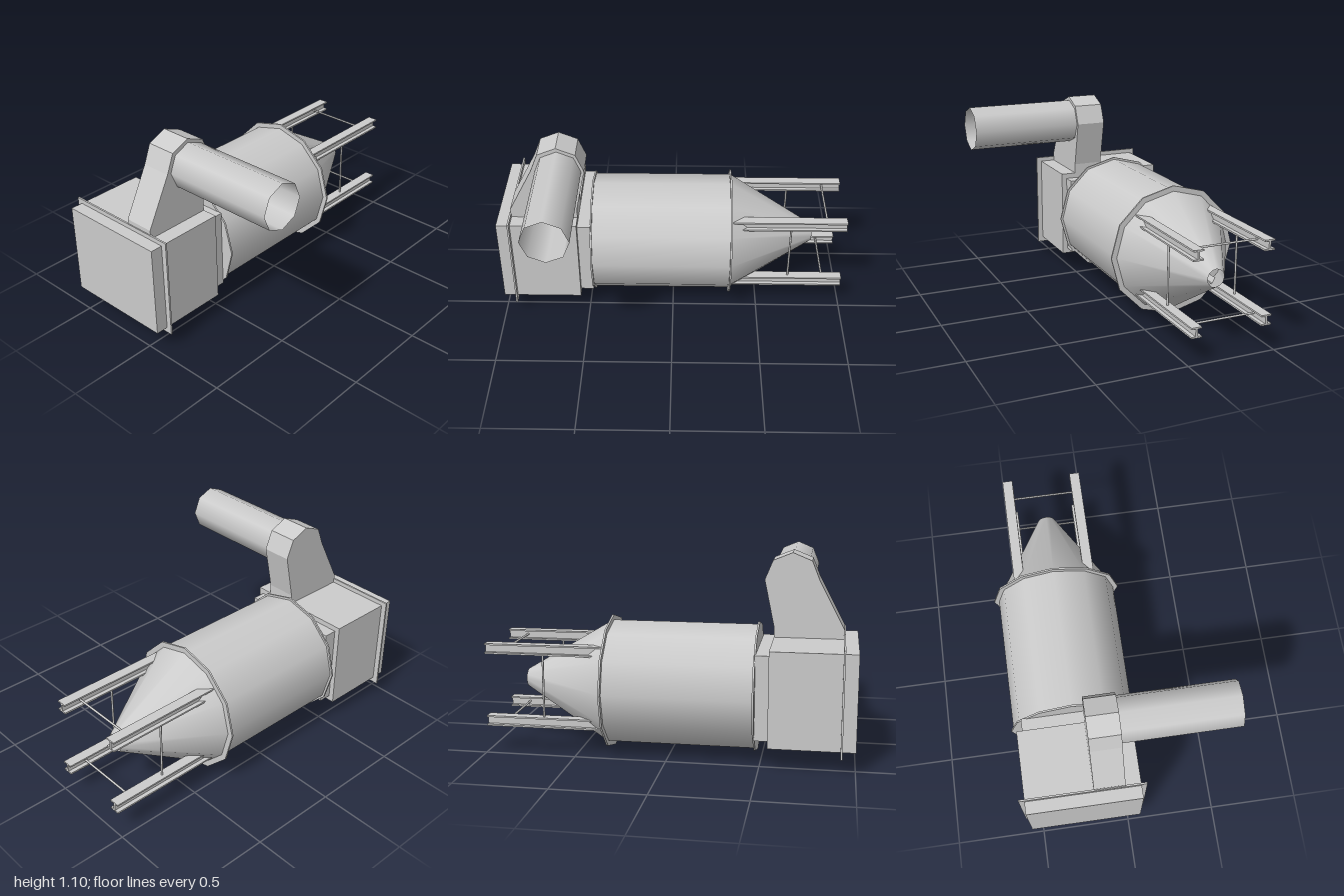
import * as THREE from 'three';

const CX = -0.245, CY = 0.373;

export function createModel() {
  const root = new THREE.Group();
  const mat = new THREE.MeshStandardMaterial({ color: 0xcccccc });
  const thin = new THREE.MeshStandardMaterial({ color: 0xcccccc, side: THREE.DoubleSide });

  const add = (name, geo, x = 0, y = 0, z = 0, m = mat) => {
    const mesh = new THREE.Mesh(geo, m);
    mesh.name = name;
    mesh.position.set(x, y, z);
    root.add(mesh);
    return mesh;
  };
  // Box given by its min and max corners
  const box = (name, [x0, y0, z0], [x1, y1, z1]) =>
    add(name, new THREE.BoxGeometry(x1 - x0, y1 - y0, z1 - z0),
      (x0 + x1) / 2, (y0 + y1) / 2, (z0 + z1) / 2);
  // Twelve-sided drum section along z on the body axis
  const drum = (name, rFront, rBack, z0, z1, open) =>
    add(name, new THREE.CylinderGeometry(rFront, rBack, z1 - z0, 12, 1, open).rotateX(Math.PI / 2),
      CX, CY, (z0 + z1) / 2, open ? thin : mat);

  // Main drum, end flanges and open-ended tapering nozzle
  drum('drumBody', 0.344, 0.344, -0.335, 0.47, true);
  drum('frontFlange', 0.357, 0.357, 0.464, 0.474, false);
  drum('rearFlange', 0.372, 0.372, -0.34, -0.33, false);
  drum('nozzleCone', 0.344, 0.05, -0.825, -0.335, true);

  // Square neck, front housing and its rim plate
  box('neck', [-0.53, 0.15, 0.47], [0.04, 0.605, 0.55]);
  box('frontHousing', [-0.56, 0.12, 0.545], [0.07, 0.635, 1]);
  box('housingRim', [-0.59, 0.088, 0.921], [0.1, 0.66, 0.931]);

  // Rising duct: side profile in (z, y), extruded along x
  const profile = [[0.925, 0.62], [0.925, 0.685], [0.785, 0.95], [0.743, 1.055], [0.638, 1.098],
    [0.533, 1.055], [0.49, 0.95], [0.545, 0.69], [0.545, 0.62]];
  const ductShape = new THREE.Shape(profile.map(([z, y]) => new THREE.Vector2(-z, y)));
  const duct = new THREE.ExtrudeGeometry(ductShape, { depth: 0.17, bevelEnabled: false });
  add('duct', duct.rotateY(Math.PI / 2), -0.187);

  // Open octagonal side pipe
  add('sidePipe', new THREE.CylinderGeometry(0.128, 0.128, 0.632, 8, 1, true).rotateZ(Math.PI / 2),
    0.299, 0.948, 0.634, thin);

  // Four I-beams running back from the drum
  const w = 0.029, t = 0.009, k = 0.006;
  const iShape = new THREE.Shape([
    [-w, -w], [w, -w], [w, -w + t], [k, -w + t], [k, w - t], [w, w - t],
    [w, w], [-w, w], [-w, w - t], [-k, w - t], [-k, -w + t], [-w, -w + t],
  ].map(([x, y]) => new THREE.Vector2(x, y)));
  const beam = new THREE.ExtrudeGeometry(iShape, { depth: 0.665, bevelEnabled: false });
  const beamX = 0.202, beamY = 0.202, by = 0.377;
  for (const sx of [-1, 1]) {
    for (const sy of [-1, 1]) add('supportBeam', beam, CX + sx * beamX, by + sy * beamY, -1);
    // Upright tie rod between upper and lower beams
    add('uprightRod', new THREE.CylinderGeometry(0.006, 0.006, 2 * (beamY - w + t), 8),
      CX + sx * beamX, by, -0.682);
  }
  // Cross tie rods between left and right beams
  for (const sy of [-1, 1]) {
    add('crossRod', new THREE.CylinderGeometry(0.006, 0.006, 2 * beamX, 8).rotateZ(Math.PI / 2),
      CX, by + sy * beamY, -0.89);
  }
  return root;
}
